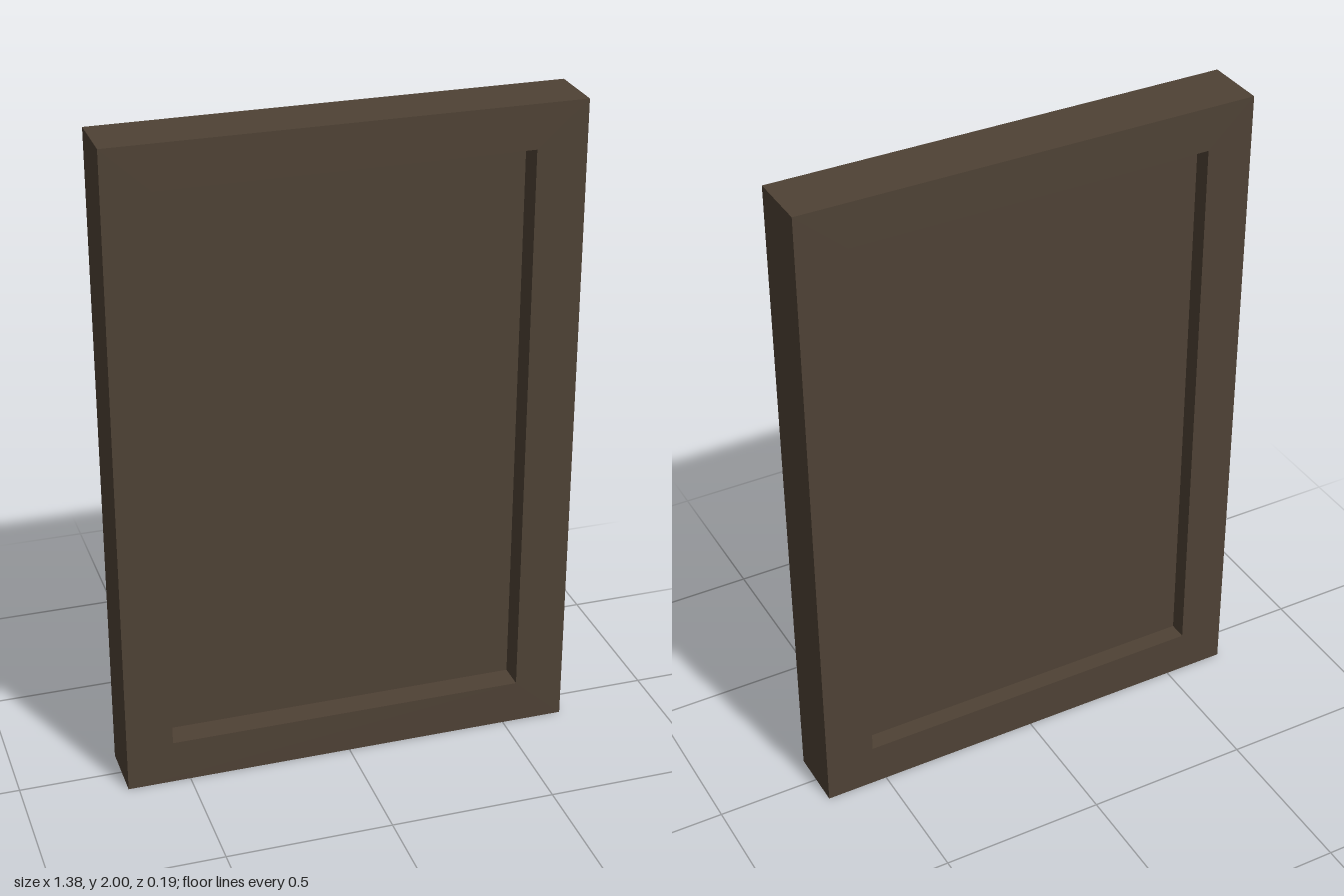
import * as THREE from 'three';

export function createModel() {
  const model = new THREE.Group();
  model.name = 'framedPanel';
  const wood = new THREE.MeshStandardMaterial({ color: 0x4f4235 });
  wood.name = 'dark brown wood';

  // Overall size and the slightly off-centre opening
  const halfWidth = 0.69, height = 2, depth = 0.186;
  const left = -0.55, right = 0.54, bottom = 0.135, top = 1.868;

  const rectangle = (target, x0, y0, x1, y1) => target
    .moveTo(x0, y0).lineTo(x1, y0).lineTo(x1, y1).lineTo(x0, y1).closePath();

  // Square-edged frame around the opening
  const outline = rectangle(new THREE.Shape(), -halfWidth, 0, halfWidth, height);
  outline.holes.push(rectangle(new THREE.Path(), left, bottom, right, top));
  const frameGeometry = new THREE.ExtrudeGeometry(outline, { depth, bevelEnabled: false });
  frameGeometry.translate(0, 0, -depth / 2);
  const frame = new THREE.Mesh(frameGeometry, wood);
  frame.name = 'frame';

  // Panel recessed deeper at the front than at the back
  const panelFront = 0.012, panelBack = -0.038;
  const panel = new THREE.Mesh(
    new THREE.BoxGeometry(right - left, top - bottom, panelFront - panelBack), wood);
  panel.position.set((left + right) / 2, (bottom + top) / 2, (panelFront + panelBack) / 2);
  panel.name = 'recessedPanel';

  model.add(frame, panel);
  return model;
}
